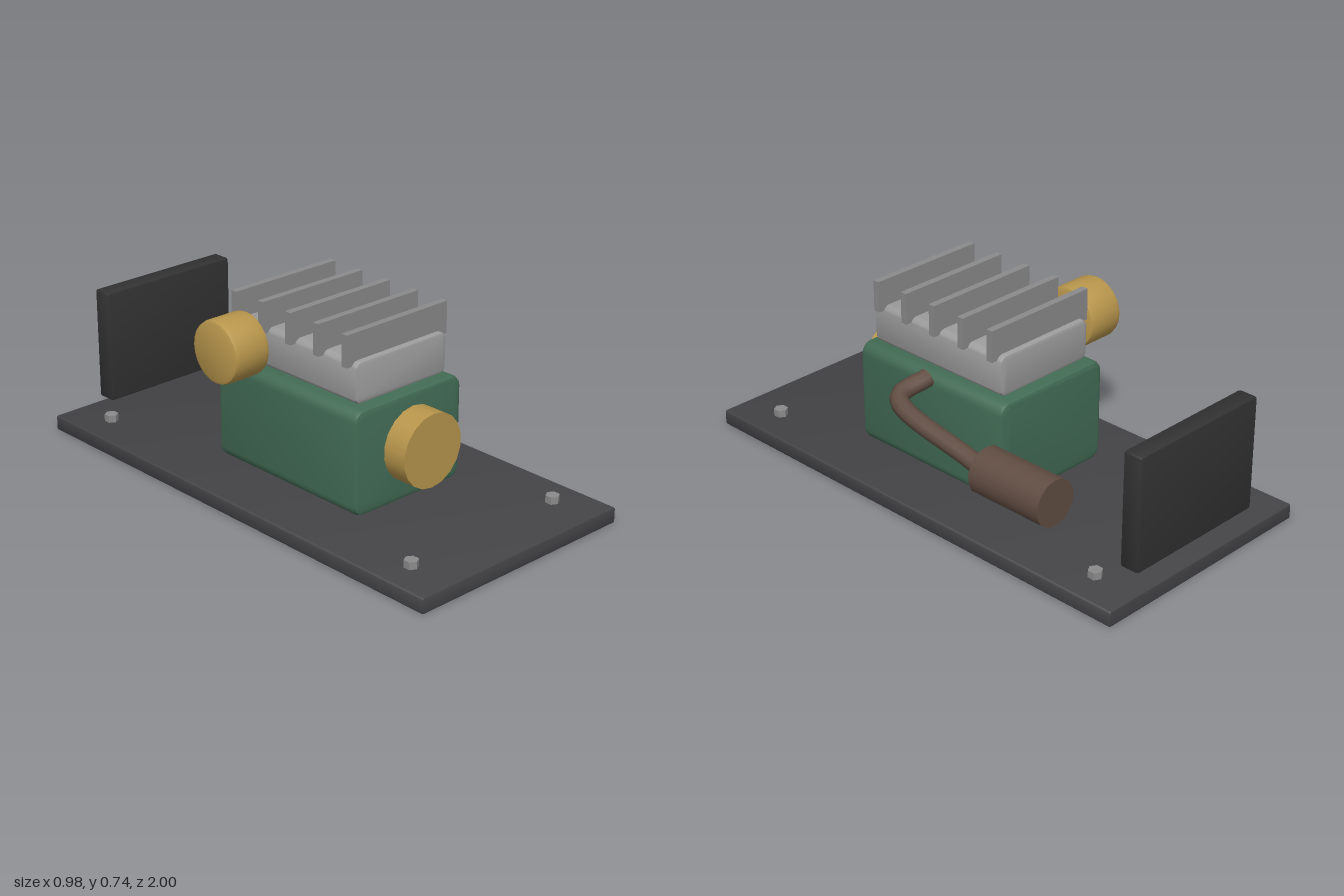
import * as THREE from 'three';
import { toCreasedNormals } from 'three/addons/utils/BufferGeometryUtils.js';

const paint = (color, side = THREE.FrontSide) => new THREE.MeshStandardMaterial({ color, side });
const CX = -0.005; // centre line of the machine

// Box with rounded corners in the xy outline and bevelled front and back edges
function softBox(w, h, d, r, bevel) {
  const x = w / 2 - r, y = h / 2 - r, q = Math.PI / 2;
  const s = new THREE.Shape();
  s.absarc(x, y, r, 0, q);
  s.absarc(-x, y, r, q, 2 * q);
  s.absarc(-x, -y, r, 2 * q, 3 * q);
  s.absarc(x, -y, r, 3 * q, 4 * q);
  s.closePath();
  const g = new THREE.ExtrudeGeometry(s, {
    depth: d - 2 * bevel, curveSegments: 3, bevelEnabled: true,
    bevelThickness: bevel, bevelSize: bevel, bevelOffset: -bevel, bevelSegments: 2,
  });
  g.translate(0, 0, -d / 2 + bevel);
  return toCreasedNormals(g, 0.6);
}

export function createModel() {
  const model = new THREE.Group();
  model.name = 'engineOnSkid';

  const green = paint(0x426b55), gold = paint(0xb8964c), brown = paint(0x604c42);
  const dark = paint(0x444447), black = paint(0x323232);
  const silver = paint(0x9c9c9c), finGrey = paint(0x8a8a8a);
  const pipeBrown = paint(0x604c42, THREE.DoubleSide);

  const add = (name, geometry, material, x, y, z) => {
    const mesh = new THREE.Mesh(geometry, material);
    mesh.name = name;
    mesh.position.set(x, y, z);
    model.add(mesh);
    return mesh;
  };

  // Skid plate with four hex bolts
  add('basePlate', softBox(0.975, 0.06, 2, 0.008, 0.006), dark, CX, 0.03, 0);
  for (const sx of [-1, 1]) for (const sz of [-1, 1]) {
    const bolt = toCreasedNormals(new THREE.CylinderGeometry(0.027, 0.027, 0.04, 6), 0.5);
    add('bolt', bolt, finGrey, CX + sx * 0.357, 0.068, sz * 0.817);
  }

  // Engine block and cylinder head
  add('engineBlock', softBox(0.525, 0.405, 0.73, 0.045, 0.018), green, CX, 0.266, 0.083);
  add('cylinderHead', softBox(0.446, 0.158, 0.648, 0.028, 0.012), silver, CX, 0.552, 0.083);

  // Cooling fins across the head
  for (let i = 0; i < 5; i++) {
    add('coolingFin', new THREE.BoxGeometry(0.49, 0.122, 0.027), finGrey, CX, 0.674, 0.083 + (i - 2) * 0.144);
  }

  // Front pulley
  const pulley = add('pulley', new THREE.CylinderGeometry(0.142, 0.142, 0.1, 18), gold, CX, 0.287, 0.515);
  pulley.rotation.x = Math.PI / 2;

  // Air filter drum with softened rims, axis along x
  const rim = [[0, -0.08], [0.105, -0.08], [0.116, -0.075], [0.12, -0.062],
    [0.12, 0.062], [0.116, 0.075], [0.105, 0.08], [0, 0.08]].map(([r, y]) => new THREE.Vector2(r, y));
  const filter = add('airFilter', toCreasedNormals(new THREE.LatheGeometry(rim, 24), 0.6), gold, -0.35, 0.573, -0.106);
  filter.rotation.z = Math.PI / 2;

  // Exhaust pipe and muffler
  const path = new THREE.CatmullRomCurve3([
    new THREE.Vector3(0.255, 0.45, 0.093),
    new THREE.Vector3(0.385, 0.412, 0.105),
    new THREE.Vector3(0.402, 0.308, -0.31),
  ]);
  add('exhaustPipe', new THREE.TubeGeometry(path, 20, 0.036, 10, false), pipeBrown, 0, 0, 0);
  const muffler = add('muffler', new THREE.CylinderGeometry(0.09, 0.09, 0.325, 14), brown, 0.402, 0.308, -0.512);
  muffler.rotation.x = Math.PI / 2;

  // Radiator panel at the back
  add('radiator', softBox(0.607, 0.447, 0.078, 0.01, 0.008), black, CX, 0.327, -0.918);

  return model;
}
